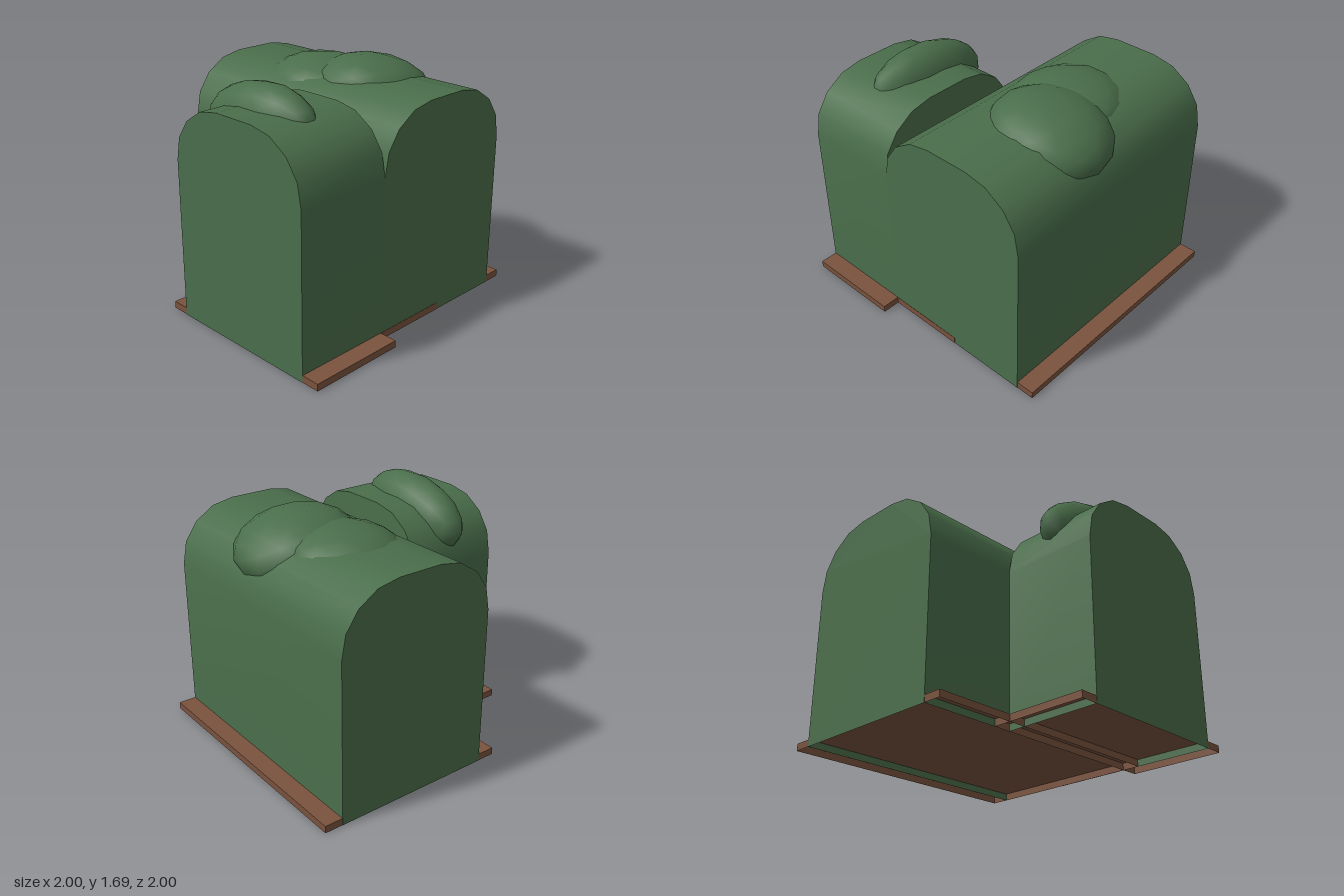
import * as THREE from 'three';
import { toCreasedNormals } from 'three/addons/utils/BufferGeometryUtils.js';

const leaf = new THREE.MeshStandardMaterial({ color: 0x4a6e4b, side: THREE.DoubleSide });
leaf.name = 'leaf green';
const earth = new THREE.MeshStandardMaterial({ color: 0x7a523d, side: THREE.DoubleSide });
earth.name = 'earth brown';

// Drops the faces lying on the ground, leaving the shell open below
function openBottom(geometry) {
  const source = geometry.index ? geometry.toNonIndexed() : geometry;
  const p = source.attributes.position;
  const kept = [];
  for (let i = 0; i < p.count; i += 3) {
    if (Math.max(p.getY(i), p.getY(i + 1), p.getY(i + 2)) < 1e-4) continue;
    for (let k = i; k < i + 3; k++) kept.push(p.getX(k), p.getY(k), p.getZ(k));
  }
  const result = new THREE.BufferGeometry();
  result.setAttribute('position', new THREE.Float32BufferAttribute(kept, 3));
  return result;
}

// Round-topped hedge run, centred on its width, extruded along +z
function hedgeGeometry(length) {
  const half = [[0.58, 0], [0.58, 1.14], [0.55, 1.3], [0.46, 1.43], [0.32, 1.52], [0.16, 1.55]];
  const outline = [...half, ...half.map(([x, y]) => [-x, y]).reverse()];
  const shape = new THREE.Shape(outline.map(([x, y]) => new THREE.Vector2(x, y)));
  const geometry = new THREE.ExtrudeGeometry(shape, { depth: length, bevelEnabled: false });
  return toCreasedNormals(openBottom(geometry), 0.8);
}

// Shallow soil tray with open underside
function soilGeometry(x0, x1, z0, z1) {
  const geometry = new THREE.BoxGeometry(x1 - x0, 0.05, z1 - z0);
  geometry.translate((x0 + x1) / 2, 0.025, (z0 + z1) / 2);
  return toCreasedNormals(openBottom(geometry), 0.5);
}

export function createModel() {
  const group = new THREE.Group();
  const add = (name, geometry, material) => {
    const mesh = new THREE.Mesh(geometry, material);
    mesh.name = name;
    group.add(mesh);
    return mesh;
  };

  // Hedge runs meeting at a corner
  const back = add('backHedge', hedgeGeometry(1.87), leaf);
  back.rotation.y = Math.PI / 2;
  back.position.set(-1, 0, -0.29);
  add('frontHedge', hedgeGeometry(0.71), leaf).position.set(0.29, 0, 0.29);

  // Soil borders, ends just inside the hedge ends
  add('backSoil', soilGeometry(-0.998, 0.868, -1, 0.42), earth);
  add('frontSoil', soilGeometry(-0.42, 1, 0.292, 0.998), earth);
  const edge = add('soilEdge', new THREE.BoxGeometry(0.004, 0.05, 0.58), earth);
  edge.position.set(0.87, 0.025, 0);

  // Leafy clumps bulging from the tops: centre, radii, tilt about x and z
  const clumps = [
    ['largeClump', [0.09, 1.42, -0.43], [0.42, 0.245, 0.43], -0.16, 0],
    ['smallClump', [-0.25, 1.43, -0.29], [0.42, 0.2, 0.39], 0, 0],
    ['frontClump', [0.14, 1.43, 0.65], [0.475, 0.255, 0.195], 0, 0.15],
  ];
  for (const [name, centre, radii, tiltX, tiltZ] of clumps) {
    const clump = add(name, new THREE.IcosahedronGeometry(1, 2), leaf);
    clump.position.set(...centre);
    clump.scale.set(...radii);
    clump.rotation.set(tiltX, 0, tiltZ);
  }
  return group;
}
